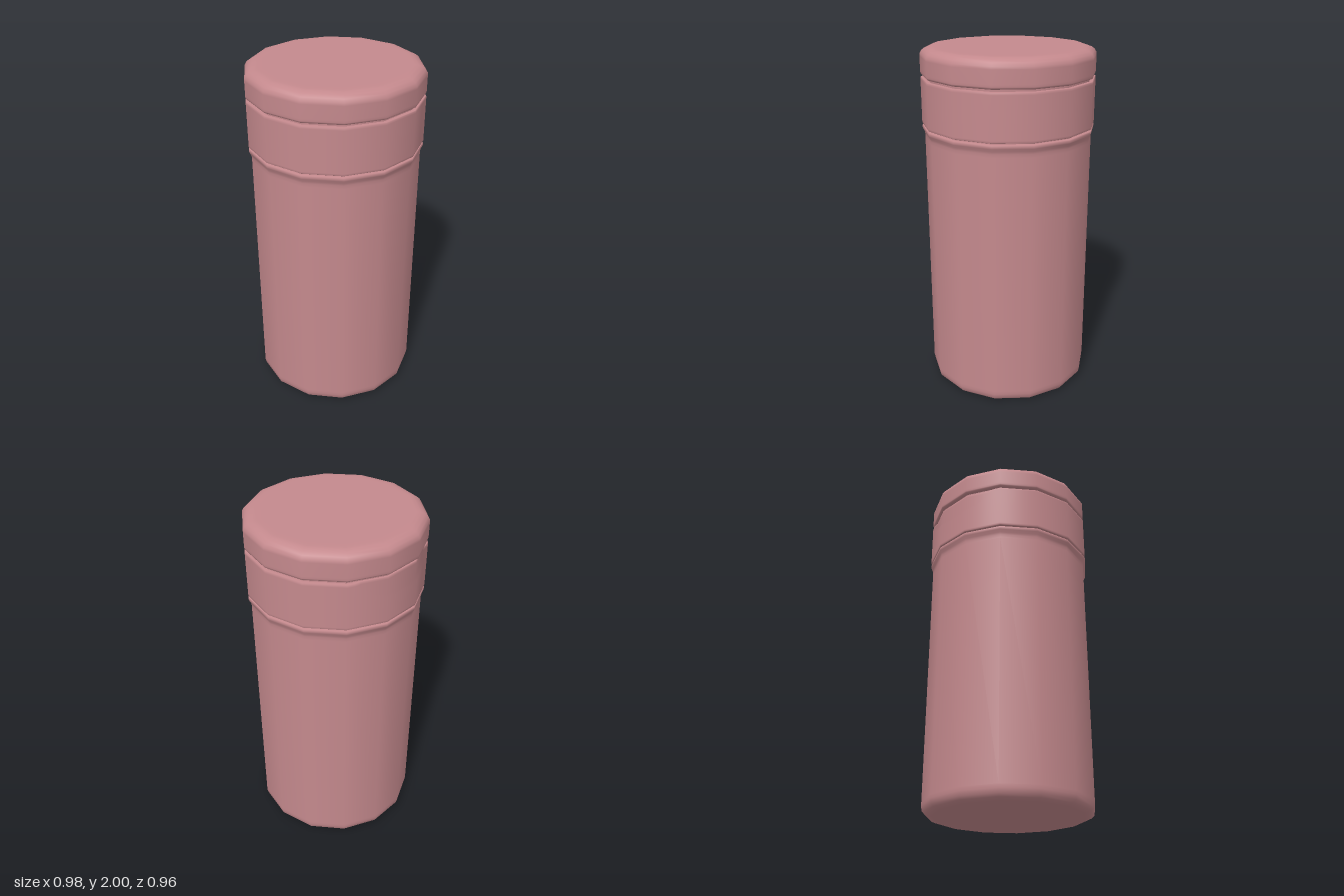
import * as THREE from 'three';

const SIDES = 14;
const STEP = (Math.PI * 2) / SIDES;
const material = new THREE.MeshStandardMaterial({ color: 0xc4898d, side: THREE.DoubleSide });

// Profile runs from bottom to top; a corner of the polygon points along +x
function turned(name, profile, segments = SIDES) {
  const points = profile.map(([r, y]) => new THREE.Vector2(r, y));
  const geometry = new THREE.LatheGeometry(points, segments, Math.PI / 2);
  const mesh = new THREE.Mesh(geometry, material);
  mesh.name = name;
  return mesh;
}

// Collar under the lid, with a shallow thumb recess at the back
function createCollar() {
  const bottom = 1.57, top = 1.832, rows = 24;
  const profile = [[0.46, bottom], [0.486, bottom]];
  for (let i = 0; i <= rows; i++) {
    profile.push([0.49, THREE.MathUtils.lerp(bottom + 0.003, top - 0.003, i / rows)]);
  }
  profile.push([0.486, top], [0.46, top]);

  const mesh = turned('collar', profile, SIDES * 12);
  const pos = mesh.geometry.attributes.position;
  for (let i = 0; i < pos.count; i++) {
    const x = pos.getX(i), y = pos.getY(i), z = pos.getZ(i);
    // Flatten the circle to the same polygon as the other parts
    const angle = Math.atan2(z, x) + Math.PI * 2;
    let scale = Math.cos(STEP / 2) / Math.cos((angle % STEP) - STEP / 2);
    // Sink the half-oval recess
    const d = Math.hypot(x / 0.27, (top - y) / 0.12);
    if (z < 0) scale *= 1 - 0.022 * (1 - THREE.MathUtils.smoothstep(d, 0.92, 1));
    pos.setXYZ(i, x * scale, y, z * scale);
  }
  return mesh;
}

export function createModel() {
  const model = new THREE.Group();
  model.name = 'canister';

  // Body with rounded foot and flared lip
  model.add(turned('body', [
    [0, 0], [0.42, 0], [0.435, 0.001], [0.457, 0.01], [0.471, 0.025], [0.476, 0.05], [0.476, 0.07],
    [0.476, 1.49], [0.476, 1.51], [0.48, 1.525], [0.488, 1.54], [0.49, 1.548],
    [0.49, 1.556], [0.487, 1.561], [0.465, 1.562], [0.42, 1.562],
  ]));

  // Inner neck seen in the grooves
  model.add(turned('neck', [[0.468, 1.55], [0.468, 1.86]]));

  model.add(createCollar());

  // Lid with softened rim
  model.add(turned('lid', [
    [0, 1.844], [0.46, 1.844], [0.48, 1.845], [0.488, 1.85], [0.49, 1.858], [0.49, 1.87],
    [0.49, 1.945], [0.489, 1.96], [0.479, 1.977], [0.462, 1.99], [0.44, 1.998], [0.42, 2], [0.39, 2], [0, 2],
  ]));

  return model;
}
